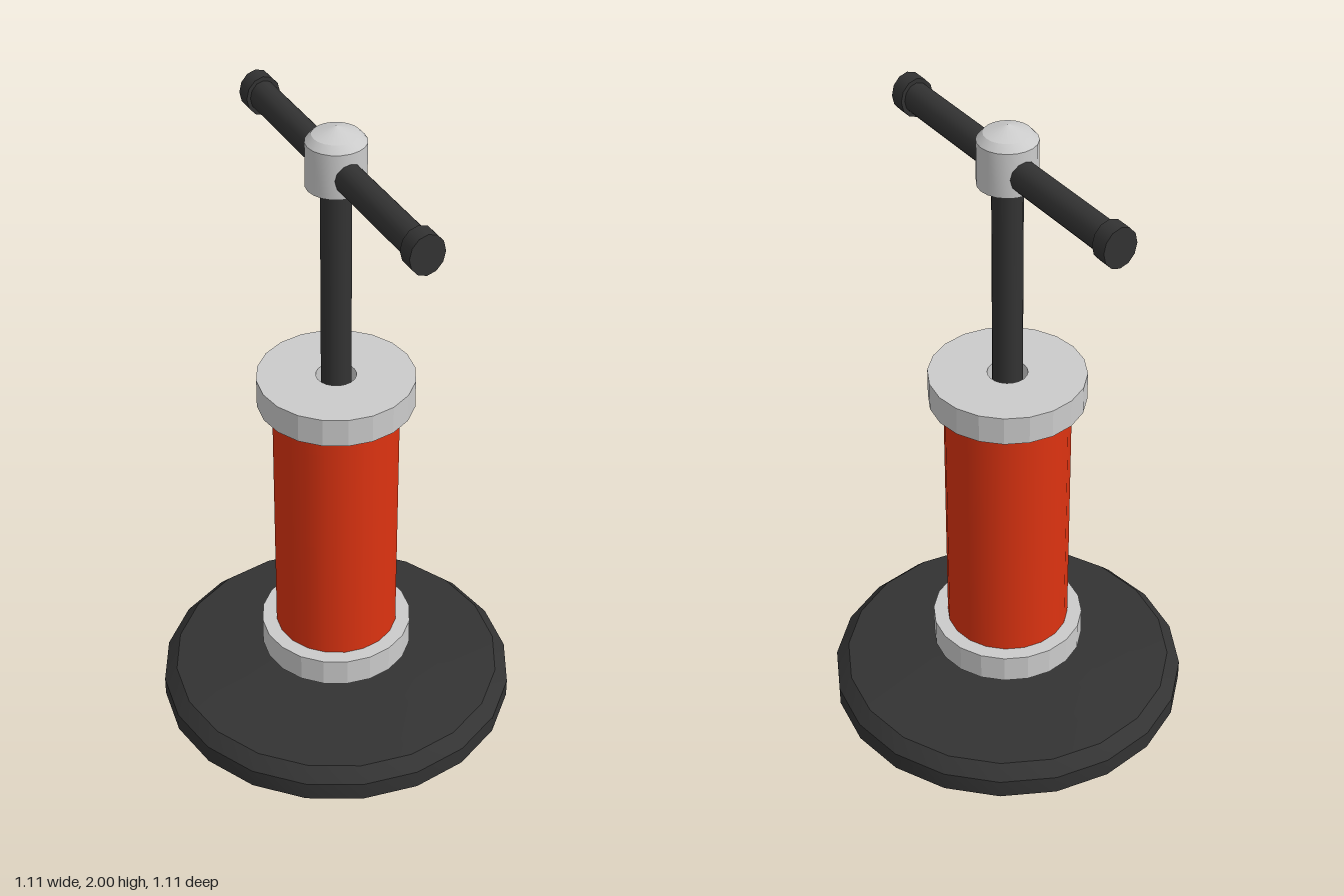
import * as THREE from 'three';
import { toCreasedNormals } from 'three/addons/utils/BufferGeometryUtils.js';

const material = (color, flatShading = false) => new THREE.MeshStandardMaterial({ color, flatShading });

export function createModel() {
  const model = new THREE.Group();
  const dark = material(0x333333);
  const red = material(0xdd3311);
  const grey = material(0xcccccc);
  const greyFlat = material(0xcccccc, true);

  const add = (name, geometry, mat, parent = model) => {
    const mesh = new THREE.Mesh(geometry, mat);
    mesh.name = name;
    parent.add(mesh);
    return mesh;
  };
  // Turned part from [radius, height] pairs, listed bottom to top
  const turned = (points, sides = 20) => toCreasedNormals(
    new THREE.LatheGeometry(points.map(([r, y]) => new THREE.Vector2(r, y)), sides), 0.42);
  const drum = (r, y0, y1, sides = 20) =>
    new THREE.CylinderGeometry(r, r, y1 - y0, sides).translate(0, (y0 + y1) / 2, 0);

  // Wide foot with bevelled rim and slightly coned top
  add('base', turned([[0, 0], [0.555, 0], [0.555, 0.06], [0.515, 0.1], [0.08, 0.13], [0, 0.13]]), dark);
  add('neck', drum(0.085, 0.11, 0.185), dark);

  // Barrel between two collars; the upper one is bored for the rod
  add('lowerCollar', drum(0.235, 0.18, 0.27), greyFlat);
  add('barrel', drum(0.19, 0.27, 1.1), red);
  add('upperCollar', turned([[0.06, 1.1], [0.235, 1.1], [0.235, 1.19], [0.06, 1.19], [0.06, 1.1]]), greyFlat);
  add('rod', drum(0.045, 1.1, 1.84), dark);

  // Domed head joining rod and handle
  add('head', turned([[0, 1.82], [0.087, 1.82], [0.087, 1.955], [0.068, 1.976], [0, 2]]), grey);

  // Slightly oval crossbar with a knob at each end
  const handle = new THREE.Group();
  handle.name = 'handle';
  handle.position.y = 1.876;
  handle.scale.x = 0.87;
  model.add(handle);
  const along = (r, length) => new THREE.CylinderGeometry(r, r, length, 12).rotateX(Math.PI / 2);
  add('crossbar', along(0.048, 0.98), dark, handle);
  for (const side of [1, -1]) {
    add(side > 0 ? 'frontKnob' : 'backKnob', along(0.061, 0.052), dark, handle).position.z = side * 0.495;
  }
  return model;
}
